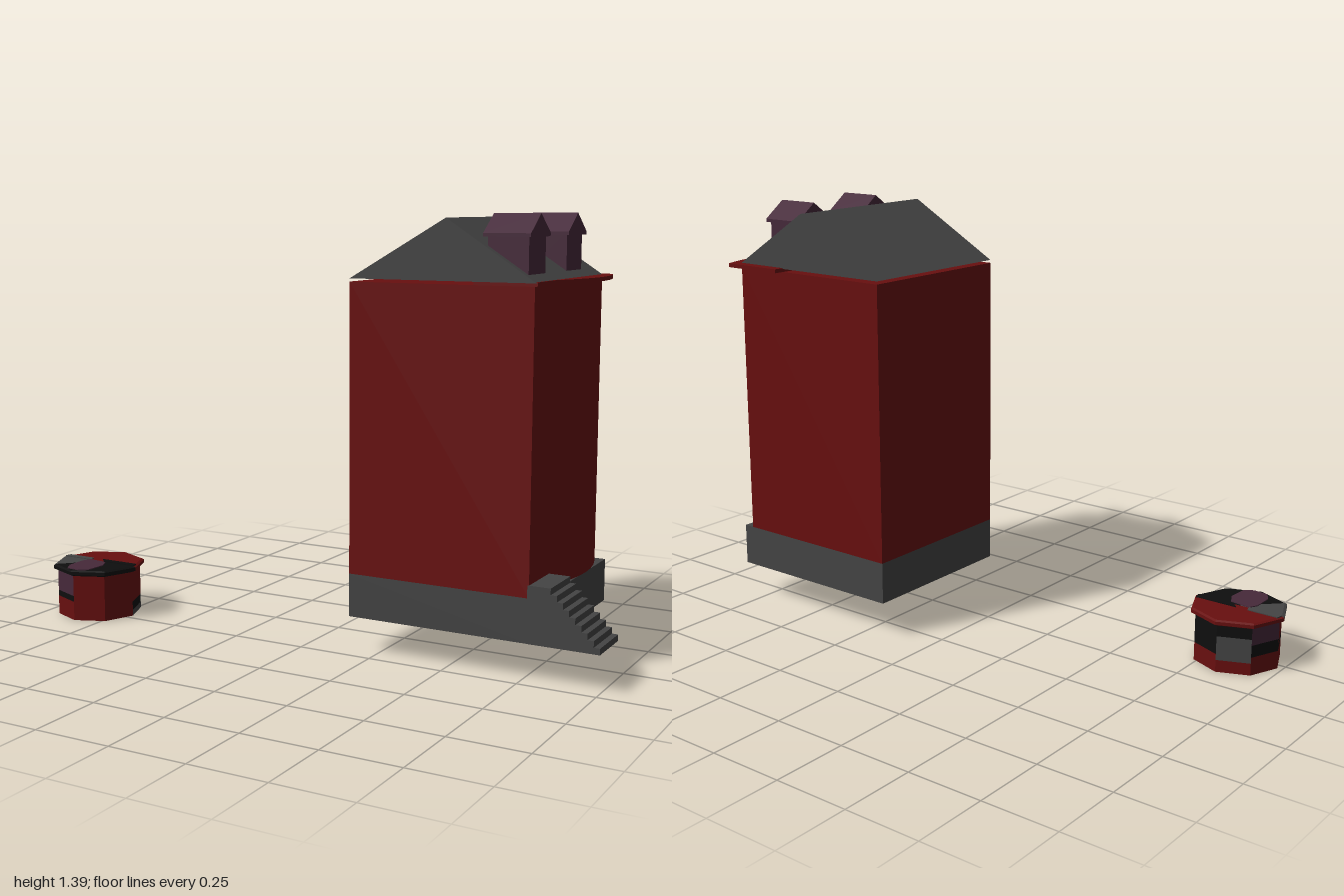
import * as THREE from 'three';
import { toCreasedNormals } from 'three/addons/utils/BufferGeometryUtils.js';

const material = (name, color) => {
  const m = new THREE.MeshStandardMaterial({ color });
  m.name = name;
  return m;
};

export function createModel() {
  const red = material('dark red', 0x680f0f);
  const grey = material('slate grey', 0x444444);
  const plum = material('plum', 0x46293a);
  const black = material('black', 0x0e0e0e);
  const model = new THREE.Group();

  const add = (parent, name, geometry, mat, x = 0, y = 0, z = 0) => {
    const mesh = new THREE.Mesh(geometry, mat);
    mesh.name = name;
    mesh.position.set(x, y, z);
    parent.add(mesh);
    return mesh;
  };
  const extrude = (points, depth) =>
    new THREE.ExtrudeGeometry(new THREE.Shape(points.map(p => new THREE.Vector2(...p))),
      { depth, bevelEnabled: false });
  // Upright slab from a floor plan of [x, z] points
  const slab = (plan, y0, y1) => {
    const g = extrude(plan.map(([x, z]) => [x, -z]), y1 - y0);
    g.rotateX(-Math.PI / 2);
    g.translate(0, y0, 0);
    return toCreasedNormals(g, 0.5);
  };
  // Curved side running from [x0, z0] to [x1, z1]
  const bow = (x0, z0, x1, z1, bulge) => Array.from({ length: 15 }, (_, i) => {
    const t = i / 14;
    return [x0 + (x1 - x0) * t + bulge * 4 * t * (1 - t), z0 + (z1 - z0) * t];
  });

  // Tower
  const tower = new THREE.Group();
  tower.name = 'tower';
  model.add(tower);
  add(tower, 'walls', slab([[0.165, 0.225], [0.775, 0.225],
    ...bow(0.775, 0.05, 0.775, -0.355, 0.04), [0.165, -0.355]], 0.26, 1.185), red);
  add(tower, 'base', slab([[0.165, 0.225], [0.78, 0.225], [0.78, 0.06],
    [0.812, 0.06], [0.812, -0.355], [0.165, -0.355]], 0.12, 0.26), grey);
  add(tower, 'cornice', slab([[0.58, 0.222], [0.782, 0.222],
    ...bow(0.782, 0.07, 0.8, -0.39, 0.046), [0.58, -0.39]], 1.185, 1.198), red);
  add(tower, 'roof', extrude([[0.165, 1.195], [0.78, 1.195], [0.49, 1.382]], 0.58),
    grey, 0, 0, -0.355);

  // Dormers on the left slope
  for (const z of [0.135, -0.175]) {
    const dormer = new THREE.Group();
    dormer.name = 'dormer';
    dormer.position.z = z;
    tower.add(dormer);
    add(dormer, 'dormerBody', new THREE.BoxGeometry(0.13, 0.13, 0.132), plum, 0.68, 1.273, 0);
    const cap = extrude([[-0.078, 1.327], [0.078, 1.327], [0.078, 1.338],
      [0, 1.395], [-0.078, 1.338]], 0.15);
    cap.rotateY(Math.PI / 2);
    add(dormer, 'dormerRoof', cap, plum, 0.605, 0, 0);
  }

  // Stairs
  const steps = [[0.77, 0.12], [1, 0.12]];
  const count = 9, rise = 0.02, tread = 0.0195;
  for (let i = 0; i < count; i++) {
    const x = 1 - i * tread, y = 0.12 + i * rise;
    steps.push([x, y + rise], [i === count - 1 ? 0.77 : x - tread, y + rise]);
  }
  add(tower, 'stairs', extrude(steps, 0.164), grey, 0, 0, 0.062);

  // Eight-sided drum, each side a stack of [bottom, top, colour] panels
  const drum = new THREE.Group();
  drum.name = 'drum';
  drum.position.set(-0.84, 0, 0.225);
  model.add(drum);
  const sides = [
    [[0, 0.16, red]],
    [[0, 0.16, red]],
    [[0, 0.065, red], [0.065, 0.085, black], [0.085, 0.16, plum]],
    [[0, 0.065, red], [0.065, 0.085, black], [0.085, 0.16, red]],
    [[0, 0.06, red], [0.06, 0.1, black], [0.1, 0.16, plum]],
    [[0, 0.04, red], [0.04, 0.12, grey], [0.12, 0.16, black]],
    [[0, 0.06, red], [0.06, 0.16, black]],
    [[0, 0.02, grey], [0.02, 0.05, black], [0.05, 0.16, red]],
  ];
  const lids = [black, black, black, grey, red, red, red, red];
  const profile = [[0.14, 0.155], [0.158, 0.163], [0.158, 0.174], [0.15, 0.178], [0, 0.178]]
    .map(p => new THREE.Vector2(...p));
  const wedge = Math.PI / 4;
  sides.forEach((panels, k) => {
    const start = Math.PI / 2 - (k + 1) * wedge;
    for (const [y0, y1, mat] of panels) {
      const g = new THREE.CylinderGeometry(0.143, 0.143, y1 - y0, 1, 1, true, start, wedge).toNonIndexed();
      g.computeVertexNormals();
      add(drum, 'drumSide', g, mat, 0, (y0 + y1) / 2, 0);
    }
    const lid = new THREE.LatheGeometry(profile, 1, start, wedge).toNonIndexed();
    lid.computeVertexNormals();
    add(drum, 'drumLid', lid, lids[k]);
  });
  const floor = new THREE.CircleGeometry(0.143, 8);
  floor.rotateX(Math.PI / 2);
  add(drum, 'drumFloor', floor, red);

  // Thin coloured patches on the lid
  const patch = (name, plan, mat) => add(drum, name, slab(plan, 0.177, 0.181), mat);
  patch('lidPatchPlum', [[-0.035, 0], [0.035, 0.01], [0.055, 0.05], [0.05, 0.12],
    [0.02, 0.14], [-0.03, 0.135], [-0.05, 0.1], [-0.05, 0.03]], plum);
  patch('lidPatchBlack', [[0, -0.022], [0.145, -0.022], [0.15, 0], [0.02, 0]], black);
  patch('lidPatchGrey', [[-0.145, -0.022], [-0.04, -0.022], [-0.035, 0], [-0.15, 0]], grey);

  return model;
}
